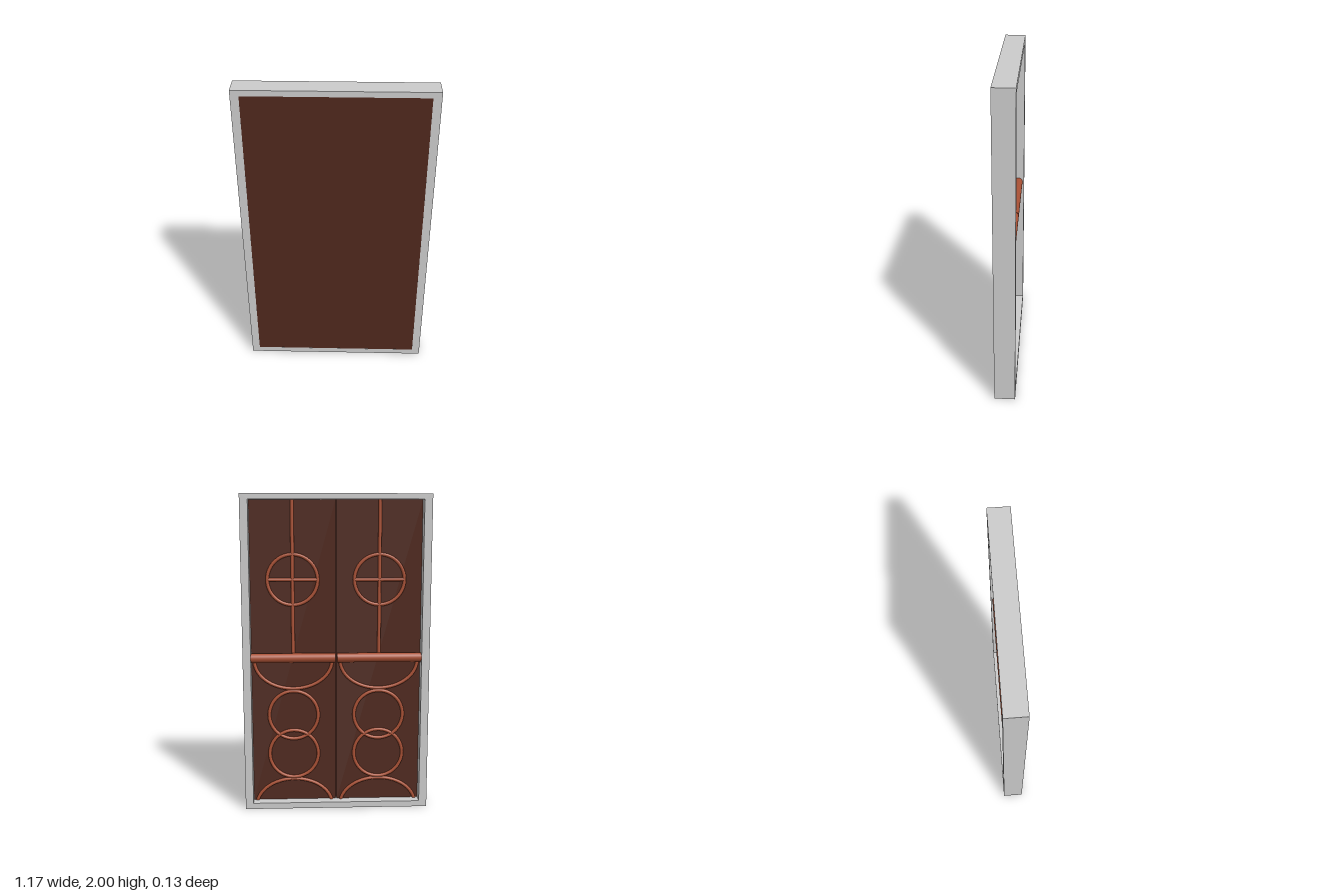
import * as THREE from 'three';

export function createModel() {
  const model = new THREE.Group();
  const grey = new THREE.MeshStandardMaterial({ color: 0xcccccc });
  const wood = new THREE.MeshStandardMaterial({ color: 0x4f281d });
  const trim = new THREE.MeshStandardMaterial({ color: 0xa85034 });

  function add(name, geometry, material, x, y, z, parent = model) {
    const mesh = new THREE.Mesh(geometry, material);
    mesh.name = name;
    mesh.position.set(x, y, z);
    parent.add(mesh);
    return mesh;
  }

  // Frame: rectangle with a rectangular opening
  const W = 0.587, D = 0.13, IN = 0.537, LOW = 0.038, HIGH = 1.965;
  const rect = (P, x, y0, y1) => new P([
    new THREE.Vector2(-x, y0), new THREE.Vector2(x, y0),
    new THREE.Vector2(x, y1), new THREE.Vector2(-x, y1),
  ]);
  const outline = rect(THREE.Shape, W, 0, 2);
  outline.holes.push(rect(THREE.Path, IN, LOW, HIGH));
  add('frame', new THREE.ExtrudeGeometry(outline, { depth: D, bevelEnabled: false }), grey, 0, 0, -D / 2);

  // Plain front board, flush with the frame
  const H = HIGH - LOW, MID = (HIGH + LOW) / 2;
  add('frontPanel', new THREE.BoxGeometry(2 * IN, H, 0.03), wood, 0, MID, 0.0495);

  // Two decorated leaves on the back, with a narrow seam between them
  const SEAM = 0.004, T = 0.011, Z = 0.0;
  for (const s of [-1, 1]) {
    const leaf = new THREE.Group();
    leaf.name = s > 0 ? 'leftLeaf' : 'rightLeaf';
    model.add(leaf);
    const cx = s * 0.272;

    add('leafPanel', new THREE.BoxGeometry(IN - SEAM, H, 0.03), wood, s * (IN + SEAM) / 2, MID, 0.0205, leaf);

    // Heavy push bar across the middle
    add('pushBar', new THREE.CylinderGeometry(0.03, 0.03, 0.535, 32), trim, s * 0.2725, 0.985, -0.025, leaf)
      .rotation.z = Math.PI / 2;

    // Upper upright with a crossed ring
    add('upright', new THREE.CylinderGeometry(T, T, HIGH - 0.985, 16), trim, cx, (HIGH + 0.985) / 2, Z, leaf);
    add('crossBar', new THREE.CylinderGeometry(T, T, 0.315, 16), trim, cx, 1.475, Z, leaf)
      .rotation.z = Math.PI / 2;

    // Upper ring and the two overlapping lower rings
    for (const y of [1.475, 0.608, 0.35])
      add('ring', new THREE.TorusGeometry(0.157, T, 12, 64), trim, cx, y, Z, leaf);

    // Flattened arches, hanging from the bar and rising from the sill
    for (const [y, dir] of [[0.962, -1], [0.0, 1]]) {
      const points = [];
      for (let i = 0; i <= 24; i++) {
        const a = Math.PI * i / 24;
        points.push(new THREE.Vector3(0.246 * Math.cos(a), dir * 0.18 * Math.sin(a), 0));
      }
      // Keep the lower arch above the sill's underside
      const visible = dir > 0 ? points.filter(p => p.y > 0.02) : points;
      const path = new THREE.CatmullRomCurve3(visible);
      add('arch', new THREE.TubeGeometry(path, 48, T, 12), trim, cx, y, Z, leaf);
    }
  }
  return model;
}
